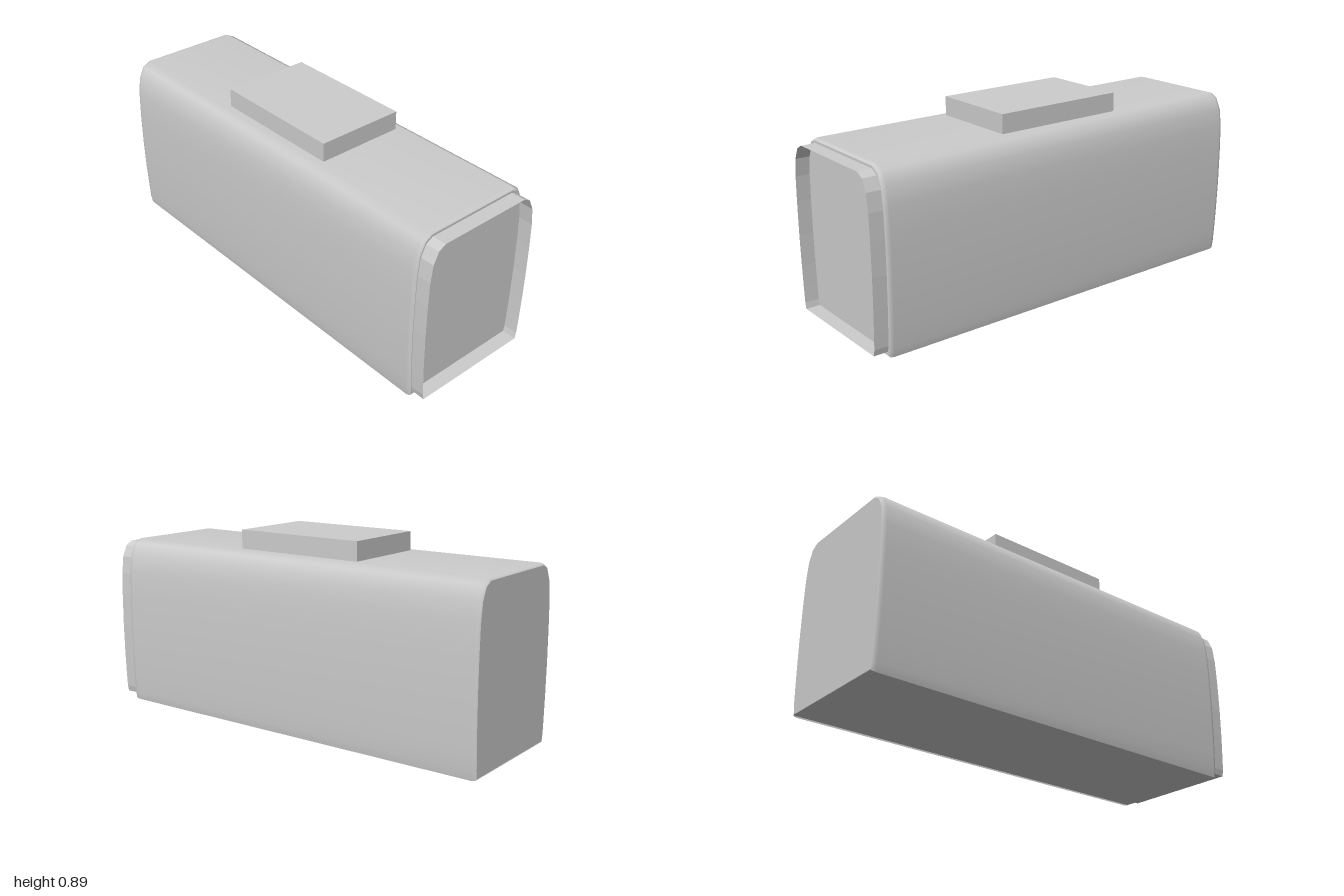
import * as THREE from 'three';

// Right half of the carriage cross-section, bottom to top
const HALF = [
  [0.299, 0.004], [0.305, 0.04], [0.309, 0.12], [0.313, 0.22], [0.316, 0.37],
  [0.315, 0.53], [0.311, 0.65], [0.3, 0.735], [0.274, 0.79], [0.238, 0.81],
];
const section = [...HALF, ...HALF.slice().reverse().map(([x, y]) => [-x, y])];

// Shrink the section about its middle
const MID = 0.407;
const inset = (dx, dy) => section.map(([x, y]) =>
  [x * (1 - dx / 0.316), MID + (y - MID) * (1 - dy / 0.403)]);

// Skin through a row of equal-length sections, each { pts, z }, going towards +z
function loft(rings) {
  const n = rings[0].pts.length, pos = [], index = [];
  for (const { pts, z } of rings) for (const [x, y] of pts) pos.push(x, y, z);
  for (let r = 0; r < rings.length - 1; r++) {
    for (let i = 0; i < n - 1; i++) {
      const a = r * n + i, b = a + 1, c = a + n, d = c + 1;
      index.push(a, b, c, b, d, c);
    }
  }
  const g = new THREE.BufferGeometry();
  g.setAttribute('position', new THREE.Float32BufferAttribute(pos, 3));
  g.setIndex(index);
  g.computeVertexNormals();
  return g;
}

const panel = (pts) => new THREE.ShapeGeometry(
  new THREE.Shape(pts.map(([x, y]) => new THREE.Vector2(x, y))));

export function createModel() {
  const group = new THREE.Group();
  const grey = new THREE.MeshStandardMaterial({ color: 0xcccccc, side: THREE.DoubleSide });
  grey.name = 'plain grey';
  const add = (name, geometry) => {
    const mesh = new THREE.Mesh(geometry, grey);
    mesh.name = name;
    group.add(mesh);
    return mesh;
  };

  // Sides and roof with slightly eased ends
  const small = inset(0.009, 0.009);
  add('bodyShell', loft([
    { pts: small, z: -1 }, { pts: inset(0.003, 0.003), z: -0.995 },
    { pts: section, z: -0.98 }, { pts: section, z: 0.915 },
    { pts: inset(0.003, 0.003), z: 0.93 }, { pts: small, z: 0.935 },
  ]));

  // End walls
  add('frontWall', panel(small)).position.z = 0.934;
  const back = add('backWall', panel(small));
  back.rotation.y = Math.PI;
  back.position.z = -1;

  // Underside
  const floor = add('floor', new THREE.PlaneGeometry(0.592, 1.934));
  floor.rotation.x = Math.PI / 2;
  floor.position.set(0, 0.01, -0.033);

  // Open connecting collar on the front end
  const collar = inset(0.013, 0.02).map(([x, y]) => [x, Math.max(y, 0.03)]);
  collar.push(collar[0]);
  const collarShell = loft([{ pts: collar, z: 0.925 }, { pts: collar, z: 1 }]).toNonIndexed();
  collarShell.computeVertexNormals();
  add('frontCollar', collarShell);

  // Roof equipment box
  add('roofUnit', new THREE.BoxGeometry(0.42, 0.09, 0.64)).position.set(0, 0.852, -0.035);

  // Rest the lower edges on the ground
  const low = new THREE.Box3().setFromObject(group).min.y;
  group.position.y = -low;
  return group;
}
